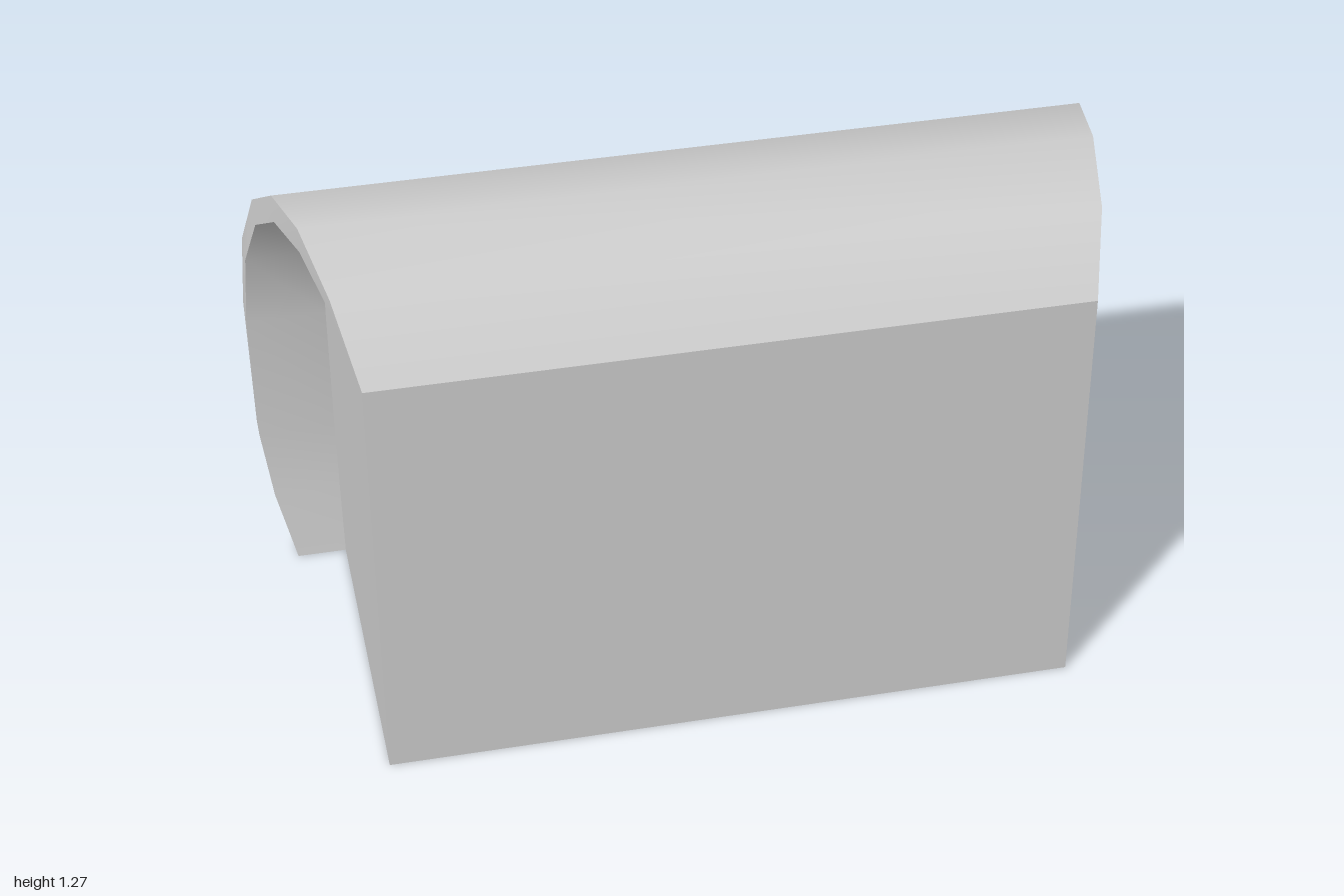
import * as THREE from 'three';

// Arch cross-section from the front edge over the top to the back foot:
// [outer z, outer y, inner z, inner y, half width]
const ARCH = [
  [0.45, 1.062, 0.45, 1.062, 0.81],
  [0.313, 1.213, 0.295, 1.17, 0.852],
  [0.108, 1.267, 0.108, 1.207, 0.893],
  [-0.1, 1.225, -0.077, 1.17, 0.93],
  [-0.28, 1.105, -0.235, 1.065, 0.963],
  [-0.4, 0.925, -0.345, 0.9, 0.988],
  [-0.44, 0.72, -0.382, 0.7, 0.998],
  [-0.45, 0.36, -0.391, 0.36, 0.993],
  [-0.436, 0.18, -0.377, 0.18, 0.97],
  [-0.411, 0, -0.351, 0, 0.928],
];
const BODY = 0.81;

// Smooth band of quads between two rows of points
function band(a, b) {
  const n = a.length, index = [];
  for (let i = 0; i < n - 1; i++) index.push(i, n + i, i + 1, i + 1, n + i, n + i + 1);
  const geo = new THREE.BufferGeometry();
  geo.setAttribute('position', new THREE.Float32BufferAttribute([...a, ...b].flat(), 3));
  geo.setIndex(index);
  geo.computeVertexNormals();
  return geo;
}

export function createModel() {
  const group = new THREE.Group();
  const grey = new THREE.MeshStandardMaterial({ color: 0xcccccc });
  grey.name = 'light grey';
  const add = (name, geo) => {
    const mesh = new THREE.Mesh(geo, grey);
    mesh.name = name;
    group.add(mesh);
  };

  // Solid body that fills the underside of the arch
  const shape = new THREE.Shape();
  shape.moveTo(-0.45, 0);
  for (const [, , z, y] of [...ARCH].reverse()) shape.lineTo(-z, y);
  shape.closePath();
  const body = new THREE.ExtrudeGeometry(shape, { depth: 2 * BODY, bevelEnabled: false });
  body.translate(0, 0, -BODY).rotateY(Math.PI / 2);
  add('body', body);

  // Curved cover that widens towards the back
  const outer = (s) => ARCH.map(([z, y, , , w]) => [s * w, y, z]);
  const inner = (s) => ARCH.map(([, , z, y, w]) => [s * w, y, z]);
  const root = (s) => ARCH.map(([, , z, y]) => [s * BODY, y, z]);
  add('cover', band(outer(-1), outer(1)));

  // Overhang lining and rim at each end
  add('leftLining', band(inner(1), root(1)));
  add('rightLining', band(root(-1), inner(-1)));
  add('leftRim', band(outer(1), inner(1)));
  add('rightRim', band(inner(-1), outer(-1)));

  // Underside of the cover's back foot
  const ends = (f) => [f(-1).at(-1), f(1).at(-1)];
  add('coverFoot', band(ends(inner), ends(outer)));

  return group;
}
